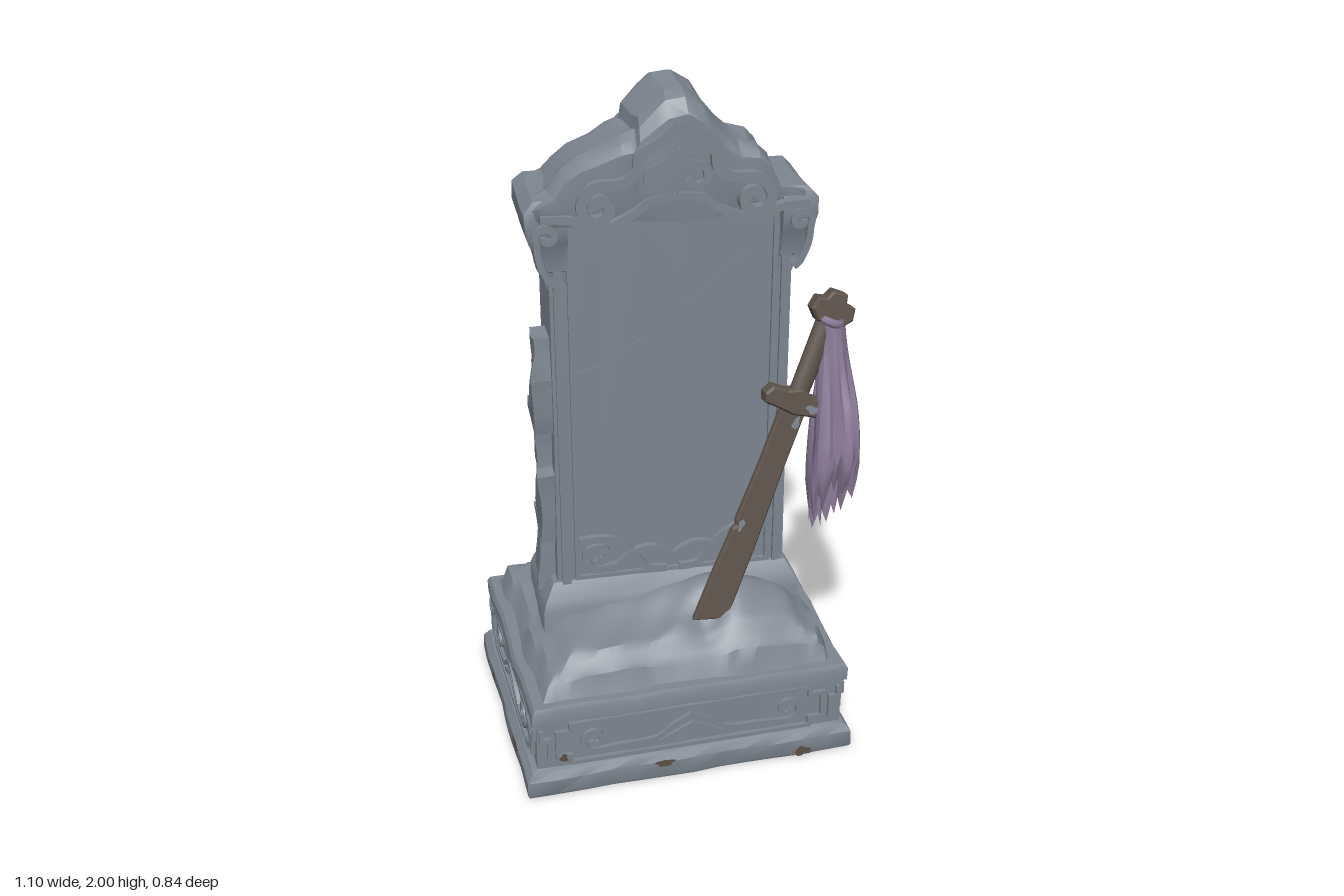
import * as THREE from 'three';
import { toCreasedNormals } from 'three/addons/utils/BufferGeometryUtils.js';

const mat = (name, color, side = THREE.FrontSide) => {
  const m = new THREE.MeshStandardMaterial({ color, side });
  m.name = name;
  return m;
};

export function createModel() {
  const stone = mat('stone', 0x7e8690);
  const rust = mat('rust brown', 0x5d5047);
  const wood = mat('worn bronze', 0x5f544d);
  const cloth = mat('purple cloth', 0x8c7b98, THREE.DoubleSide);
  const root = new THREE.Group();

  const add = (parent, name, geo, material) => {
    const m = new THREE.Mesh(geo, material);
    m.name = name;
    parent.add(m);
    return m;
  };
  const noise = (x, y, z) => (Math.sin(x * 17 + y * 9 + 1.3) + Math.sin(y * 21 - z * 13 + 0.4)
    + Math.sin(z * 19 + x * 11 + 2.1) + 0.6 * Math.sin(x * 41 - y * 37 + z * 33)) / 3.6;
  // Wobble vertices by a smooth rule, then keep only the sharp edges sharp
  const weather = (geo, amp, crease = 0.5) => {
    const p = geo.attributes.position;
    for (let i = 0; i < p.count; i++) {
      const [x, y, z] = [p.getX(i), p.getY(i), p.getZ(i)];
      const lift = y < 0.01 ? 0 : 1;
      p.setXYZ(i, x + amp * noise(x, y, z), y + amp * lift * noise(z + 3, x, y), z + amp * noise(y, z + 5, x));
    }
    return toCreasedNormals(geo, crease);
  };
  // Skin closed rings of [x, y, z] points, with both ends capped
  const loft = (rings) => {
    const n = rings[0].length, pos = rings.flat(2), idx = [];
    rings.slice(1).forEach((_, i) => {
      for (let j = 0; j < n; j++) {
        const a = i * n + j, b = i * n + (j + 1) % n;
        idx.push(a, b, b + n, a, b + n, a + n);
      }
    });
    [rings[0], rings.at(-1)].forEach((r, end) => {
      const c = pos.length / 3, s = end ? (rings.length - 1) * n : 0;
      for (let k = 0; k < 3; k++) pos.push(r.reduce((t, p) => t + p[k], 0) / n);
      for (let j = 0; j < n; j++) {
        const a = s + j, b = s + (j + 1) % n;
        if (end) idx.push(c, a, b); else idx.push(c, b, a);
      }
    });
    const g = new THREE.BufferGeometry();
    g.setAttribute('position', new THREE.Float32BufferAttribute(pos, 3));
    g.setIndex(idx);
    return g;
  };
  // Subdivided ring through four [x, z] corners
  const quadRing = (q, y, s = 1, n = 8) => q.flatMap(([x, z], i) => {
    const [x2, z2] = q[(i + 1) % 4];
    return Array.from({ length: n }, (_, k) => [s * (x + (x2 - x) * k / n), y, s * (z + (z2 - z) * k / n)]);
  });
  const rect = (x0, x1, z0, z1) => [[x1, z1], [x1, z0], [x0, z0], [x0, z1]];

  // Carved band following a 2D path
  const offset = (pts, d, closed) => pts.map((p, i) => {
    const n = pts.length;
    const a = closed ? pts[(i + n - 1) % n] : pts[Math.max(i - 1, 0)];
    const b = closed ? pts[(i + 1) % n] : pts[Math.min(i + 1, n - 1)];
    const u = p.clone().sub(a).normalize(), v = b.clone().sub(p).normalize();
    const t = u.clone().add(v).normalize();
    const c = Math.max(0.5, t.dot(v.lengthSq() ? v : u));
    return new THREE.Vector2(p.x - t.y * d / c, p.y + t.x * d / c);
  });
  const V = (list) => list.map(([x, y]) => new THREE.Vector2(x, y));
  const carve = (parent, name, pts, w, z = 0, depth = 0.013, closed = false) => {
    const l = offset(pts, w / 2, closed), r = offset(pts, -w / 2, closed);
    const shape = new THREE.Shape(closed ? r : [...l, ...r.reverse()]);
    if (closed) shape.holes.push(new THREE.Path(l));
    add(parent, name, new THREE.ExtrudeGeometry(shape, { depth, bevelEnabled: false }), stone).position.z = z;
  };
  const spiral = (cx, cy, r, start, turns, dir = 1) => Array.from({ length: 11 }, (_, i) => {
    const a = start + dir * turns * Math.PI * 2 * i / 10, q = r * (1 - 0.075 * i);
    return [cx + q * Math.cos(a), cy + q * Math.sin(a)];
  });
  const mirrored = (parent, name, list, w, z, depth) => [1, -1].forEach((s) =>
    carve(parent, name, new THREE.SplineCurve(V(list.map(([x, y]) => [s * x, y]))).getPoints(list.length * 4), w, z, depth));
  // Flat ragged blotch
  const patch = (w, h, seed) => new THREE.ShapeGeometry(new THREE.Shape(V(Array.from({ length: 18 }, (_, i) => {
    const a = i / 18 * Math.PI * 2, q = 1 + 0.16 * Math.sin(3 * a + seed) + 0.12 * Math.sin(5 * a + seed * 2.7);
    return [q * w * Math.cos(a), q * h * Math.sin(a)];
  }))));

  // Skewed base block with plinth, recessed body and rim
  const foot = [[0.495, 0.37], [0.48, -0.42], [-0.55, -0.37], [-0.5, 0.42]];
  const baseRows = [[0.002, 0.99], [0.012, 1], [0.06, 1], [0.085, 0.965], [0.09, 0.935], [0.24, 0.935],
    [0.245, 0.962], [0.285, 0.962], [0.3, 0.945]];
  add(root, 'base', weather(loft(baseRows.map(([y, s]) => quadRing(foot, y, s, 12))), 0.006), stone);

  // Carved panel and rust marks [x, y, half width, half height] on each side of the base
  const marks = [
    [[-0.09, 0.064, 0.028, 0.012], [0.34, 0.024, 0.026, 0.016], [-0.39, 0.125, 0.012, 0.014]],
    [[-0.17, 0.06, 0.06, 0.011], [-0.15, 0.035, 0.025, 0.012]],
    [[0.12, 0.035, 0.07, 0.018], [0.4, 0.05, 0.05, 0.016], [-0.2, 0.03, 0.05, 0.018]],
    [[-0.2, 0.045, 0.03, 0.02], [0.19, 0.05, 0.035, 0.016]]];
  foot.forEach(([bx, bz], i) => {
    const [ax, az] = foot[(i + 3) % 4];
    const g = new THREE.Group(), dx = bx - ax, dz = bz - az, h = Math.hypot(dx, dz) / 2 * 0.935;
    g.name = 'basePanel';
    g.position.set((ax + bx) / 2 * 0.935, 0, (az + bz) / 2 * 0.935);
    g.rotation.y = Math.atan2(-dz, dx);
    root.add(g);
    const k = h - 0.06, m = h - 0.1;
    carve(g, 'panelFrame', V([[-m, 0.1], [m, 0.1], [m, 0.125], [k, 0.125], [k, 0.21], [m, 0.21], [m, 0.235],
      [-m, 0.235], [-m, 0.21], [-k, 0.21], [-k, 0.125], [-m, 0.125]]), 0.013, 0, 0.013, true);
    mirrored(g, 'panelScroll', [[0, 0.205], [0.06, 0.175], [0.11, 0.14], [m - 0.15, 0.135],
      ...spiral(m - 0.07, 0.17, 0.042, -1.9, 1.25)], 0.015, 0);
    carve(g, 'panelChevron', V([[-0.1, 0.125], [0, 0.172], [0.1, 0.125]]), 0.012);
    [-1, 1].forEach((s) => carve(g, 'cornerKey',
      V([[s * (h - 0.035), 0.12], [s * (h - 0.035), 0.19], [s * (h - 0.012), 0.19], [s * (h - 0.012), 0.225]]), 0.012));
    marks[i].forEach(([x, y, w, t], j) =>
      add(g, 'rustMark', patch(w, t, i + j * 2), rust).position.set(x, y, y > 0.1 ? 0.016 : 0.037));
  });

  // Rust stains under the base
  [[0.41, -0.3, 0.05, 0.09], [0.41, 0.2, 0.06, 0.12], [0.12, -0.36, 0.08, 0.04], [-0.43, -0.29, 0.08, 0.05],
    [-0.47, 0.1, 0.035, 0.08], [-0.3, 0.36, 0.1, 0.035], [0.2, 0.33, 0.06, 0.04]].forEach(([x, z, w, h], i) => {
    const p = add(root, 'undersideStain', patch(w, h, i), rust);
    p.rotation.x = Math.PI / 2;
    p.position.set(x, 0, z);
  });

  // Drifted mound covering the base, dipping where the sword is stuck
  const mound = new THREE.PlaneGeometry(2, 2, 48, 40).rotateX(-Math.PI / 2);
  const mp = mound.attributes.position, smooth = THREE.MathUtils.smoothstep;
  for (let i = 0; i < mp.count; i++) {
    const u = mp.getX(i), v = mp.getZ(i), a = (u + 1) / 2, b = (v + 1) / 2;
    const mix = (k) => 0.92 * ((1 - b) * ((1 - a) * foot[2][k] + a * foot[1][k]) + b * ((1 - a) * foot[3][k] + a * foot[0][k]));
    const x = mix(0), z = mix(1), d = 1 - Math.max(Math.abs(u), Math.abs(v));
    const w = 0.05 * (noise(x, 0, z) + 0.9);
    const y = 0.27 + 0.095 * smooth(d, 0.0, 0.07 + w) + 0.04 * smooth(d, 0.08 + w, 0.24 + w)
      + 0.075 * Math.exp(-(((x - 0.14) / 0.24) ** 2) - ((z - 0.15) / 0.12) ** 2)
      + 0.05 * Math.exp(-((x / 0.3) ** 2) - ((z - 0.08) / 0.08) ** 2)
      - 0.045 * Math.exp(-(((x - 0.075) / 0.06) ** 2) - ((z - 0.24) / 0.06) ** 2)
      + 0.018 * noise(x, 0.5, z) * smooth(d, 0, 0.15);
    mp.setXYZ(i, x, y, z);
  }
  add(root, 'mound', toCreasedNormals(mound, 0.6), stone);

  // Upright slab: footing, shaft and capitals
  const column = (name, rows, amp) => add(root, name,
    weather(loft(rows.map(([y, x0, x1, z0, z1]) => quadRing(rect(x0, x1, z0, z1), y, 1, 5))), amp), stone);
  column('slabFooting', [[0.32, -0.4, 0.385, -0.19, 0.125], [0.44, -0.4, 0.38, -0.185, 0.12], [0.47, -0.39, 0.37, -0.18, 0.11],
    [0.52, -0.36, 0.35, -0.16, 0.08]], 0.008);
  column('slab', [[0.45, -0.35, 0.345, -0.148, 0.07], [1.0, -0.345, 0.34, -0.148, 0.07], [1.7, -0.345, 0.34, -0.148, 0.07]], 0.001);
  [[-0.41, -0.295], [0.3, 0.4]].forEach(([x0, x1], i) => {
    const f = (o, y, z0, z1) => i ? [y, x0, x1 - o, z0, z1] : [y, x0 + o, x1, z0, z1];
    column('capital', [f(0.06, 1.46, -0.145, 0.068), f(0.045, 1.51, -0.155, 0.075), f(0.035, 1.515, -0.16, 0.085), f(0.025, 1.58, -0.164, 0.09),
      f(0.01, 1.6, -0.18, 0.1), f(0, 1.64, -0.185, 0.105), f(0, 1.69, -0.185, 0.105), f(0.03, 1.72, -0.17, 0.09)], 0.005);
  });

  // Broken gable: sections [x, top, back, front] stepping between the boulders
  const gable = [[-0.4, 1.69, -0.15, 0.09], [-0.37, 1.715, -0.17, 0.115], [-0.33, 1.735, -0.175, 0.12], [-0.3, 1.78, -0.17, 0.118],
    [-0.26, 1.815, -0.175, 0.12], [-0.2, 1.845, -0.17, 0.12], [-0.15, 1.875, -0.165, 0.12], [-0.12, 1.885, -0.165, 0.12],
    [-0.105, 1.885, -0.15, 0.115], [-0.095, 1.92, -0.18, 0.12], [-0.05, 1.965, -0.19, 0.122], [-0.02, 1.993, -0.195, 0.124],
    [0.03, 1.996, -0.195, 0.124], [0.075, 1.965, -0.19, 0.122], [0.11, 1.91, -0.185, 0.12], [0.14, 1.875, -0.17, 0.115],
    [0.18, 1.845, -0.178, 0.115], [0.23, 1.83, -0.18, 0.115], [0.265, 1.8, -0.175, 0.11], [0.29, 1.735, -0.165, 0.1],
    [0.36, 1.725, -0.17, 0.1], [0.395, 1.68, -0.15, 0.08]];
  add(root, 'gable', weather(loft(gable.map(([x, t, b, f]) => {
    const lo = 1.655, h = t - lo, m = (b + f) / 2, q = (f - b) / 4;
    return [[x, lo, f - 0.01], [x, lo, m], [x, lo, b + 0.01], [x, lo + h * 0.4, b], [x, lo + h * 0.85, b + 0.005],
      [x, t - 0.008, b + 0.03], [x, t, m - q], [x, t - 0.012, m], [x, t + 0.004, m + q], [x, t - 0.008, f - 0.03],
      [x, lo + h * 0.85, f - 0.003], [x, lo + h * 0.4, f]];
  })), 0.014, 0.45), stone);

  // Carving on both faces of the slab
  [1, -1].forEach((s) => {
    const g = new THREE.Group();
    g.name = s > 0 ? 'frontCarving' : 'backCarving';
    g.position.z = s > 0 ? 0.07 : -0.148;
    g.rotation.y = s > 0 ? 0 : Math.PI;
    root.add(g);
    const top = s > 0 ? 0.028 : 0.014;
    carve(g, 'panelBorder', V([[-0.29, 0.53], [0.29, 0.53], [0.29, 1.665], [-0.29, 1.665]]), 0.012, 0, 0.012, true);
    mirrored(g, 'pilaster', [[0.322, 0.5], [0.322, 1.0], [0.322, 1.64]], 0.026, 0);
    mirrored(g, 'footScroll', [[0, 0.575], [0.06, 0.61], [0.12, 0.6], [0.17, 0.56], ...spiral(0.225, 0.6, 0.048, -2.1, 1.2)], 0.024, 0, 0.02);
    mirrored(g, 'footLeaf', [[0.02, 0.535], [0.08, 0.545], [0.14, 0.62], [0.2, 0.655], [0.285, 0.655]], 0.022, 0, 0.016);
    mirrored(g, 'bracketScroll', [[0.335, 1.49], [0.355, 1.51], [0.375, 1.56], ...spiral(0.352, 1.625, 0.034, -0.6, 1.1)], 0.018, 0, top + 0.017);
    mirrored(g, 'gableScroll', [[0, 1.915], [0.04, 1.88], [0.1, 1.845], [0.11, 1.8], [0.15, 1.77], [0.22, 1.765],
      ...spiral(0.215, 1.705, 0.05, 0.9, 1.2, -1)], 0.028, top, 0.04);
    mirrored(g, 'gableArch', [[0, 1.855], [0.03, 1.82], [0.075, 1.8], [0.08, 1.765], [0.05, 1.75], [0.03, 1.77]], 0.02, top, 0.038);
    mirrored(g, 'gableLip', [[0, 1.725], [0.07, 1.715], [0.12, 1.68], [0.2, 1.645], [0.25, 1.65], [0.29, 1.675], [0.37, 1.68]], 0.022, top, 0.034);
  });

  // Crack ridges across the front panel
  [[[-0.28, 1.2], [-0.22, 1.215], [-0.17, 1.23], [-0.12, 1.275], [-0.075, 1.295]],
    [[0.02, 1.385], [0.09, 1.42], [0.13, 1.47], [0.21, 1.53]]].forEach((c) => carve(root, 'crack', V(c), 0.005, 0.07, 0.003));

  // Broken rock along the weathered side [y, height, z, depth]
  [[0.57, 0.2, -0.06, 0.17], [0.77, 0.22, -0.02, 0.16], [0.95, 0.2, -0.06, 0.15], [1.1, 0.16, -0.02, 0.14], [1.23, 0.14, 0.0, 0.1]]
    .forEach(([y, h, z, d], i) => add(root, 'sideRock',
      weather(new THREE.BoxGeometry(0.07, h, d, 2, 5, 5).rotateX(i % 2 ? 0.12 : -0.08).translate(-0.355, y, z), 0.016, 0.35), stone));

  // Sword leaning against the slab, built along its own +y
  const sword = new THREE.Group();
  sword.name = 'sword';
  const tip = new THREE.Vector3(0.085, 0.44, 0.22), dir = new THREE.Vector3(0.475, 1.385, 0.085).sub(tip).normalize();
  const sx = dir.clone().cross(new THREE.Vector3(0, 0, 1)).normalize();
  sword.quaternion.setFromRotationMatrix(new THREE.Matrix4().makeBasis(sx, dir, sx.clone().cross(dir)));
  sword.position.copy(tip);
  root.add(sword);
  const plate = (name, pts, depth) => add(sword, name, new THREE.ExtrudeGeometry(new THREE.Shape(V(pts)),
    { depth, bevelSize: 0.006, bevelThickness: 0.008, bevelSegments: 1 }).translate(0, 0, -depth / 2), wood);
  plate('blade', [[-0.044, -0.02], [0.046, 0.01], [0.044, 0.25], [0.036, 0.5], [0.034, 0.7], [-0.032, 0.7], [-0.03, 0.5],
    [-0.034, 0.31], [-0.026, 0.295], [-0.034, 0.28], [-0.04, 0.15]], 0.014);
  plate('guard', [[-0.09, 0.68], [-0.05, 0.676], [0, 0.668], [0.05, 0.676], [0.09, 0.68], [0.098, 0.7], [0.085, 0.722],
    [0.04, 0.722], [0, 0.738], [-0.04, 0.722], [-0.085, 0.722], [-0.098, 0.7]], 0.04);
  add(sword, 'grip', new THREE.CylinderGeometry(0.034, 0.03, 0.26, 10).scale(1, 1, 0.7).translate(0, 0.85, 0), wood);
  plate('pommel', [[-0.035, 0.95], [0.035, 0.95], [0.06, 0.975], [0.055, 1.005], [0.025, 1.01], [0.018, 1.035], [-0.018, 1.035],
    [-0.03, 1.01], [-0.055, 1.005], [-0.06, 0.975]], 0.038);
  [[-0.02, 0.3, 0.0155, 0.008, 0.02], [0.022, 0.64, 0.0155, 0.01, 0.02], [0.05, 0.695, 0.0285, 0.022, 0.012]].forEach(([x, y, z, w, h], i) =>
    add(sword, 'bareChip', patch(w, h, i * 3), stone).position.set(x, y, z));

  // Torn cloth: a folded skirt with a ragged hem, gathered below the pommel
  const cols = 36, rows = 10;
  const hem = (a, j) => 0.585 - 0.085 * Math.sin(a) - 0.03 * Math.cos(a) + [0.02, -0.03, 0, 0.035, -0.02][j % 5];
  const rag = new THREE.CylinderGeometry(1, 1, 1, cols, rows, true), rp = rag.attributes.position;
  for (let i = 0; i < rp.count; i++) {
    const j = (i % (cols + 1)) % cols, t = Math.floor(i / (cols + 1)) / rows, a = j / cols * Math.PI * 2;
    const fold = 1 + Math.min(1, t * 2) * (0.17 * Math.sin(5 * a + t * 2) + 0.08 * Math.sin(9 * a - t * 3));
    const swell = smooth(t, 0, 0.85) * (1 - 0.4 * smooth(t, 0.82, 1));
    rp.setXYZ(i, 0.46 + 0.01 * t + (0.036 + 0.036 * swell) * fold * Math.cos(a), 1.325 - t * hem(a, j),
      0.095 + 0.055 * smooth(t, 0, 0.85) - 0.015 * smooth(t, 0.85, 1) + (0.036 + 0.04 * swell) * fold * Math.sin(a));
  }
  add(root, 'cloth', toCreasedNormals(rag, 0.6), cloth);
  add(root, 'clothKnot', new THREE.TorusGeometry(0.034, 0.013, 6, 12).rotateX(Math.PI / 2).rotateZ(-0.4).translate(0.452, 1.315, 0.095), cloth);

  return root;
}
